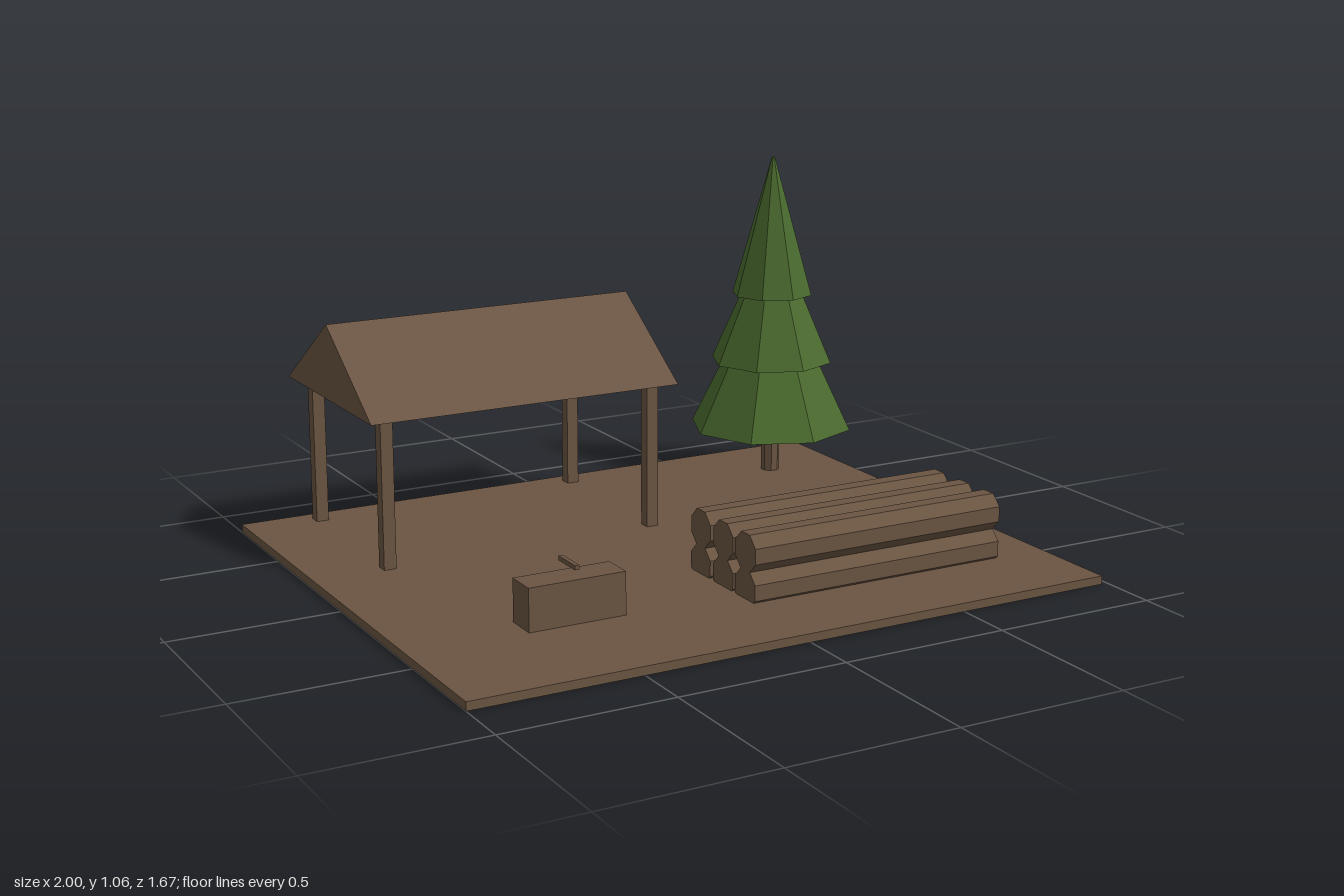
import * as THREE from 'three';

const wood = new THREE.MeshStandardMaterial({ color: 0x6b5543 });
wood.name = 'earthy brown wood';
const needles = new THREE.MeshStandardMaterial({ color: 0x4a6a2e });
needles.name = 'pine green';

function add(parent, name, geometry, material, x, y, z) {
  // Faceted, low-poly shading
  const flat = geometry.index ? geometry.toNonIndexed() : geometry;
  flat.computeVertexNormals();
  const mesh = new THREE.Mesh(flat, material);
  mesh.name = name;
  mesh.position.set(x, y, z);
  parent.add(mesh);
  return mesh;
}

function subgroup(parent, name) {
  const group = new THREE.Group();
  group.name = name;
  parent.add(group);
  return group;
}

export function createModel() {
  const model = new THREE.Group();
  model.name = 'lumberCamp';

  // Ground slab
  add(model, 'ground', new THREE.BoxGeometry(1.98, 0.025, 1.65), wood, -0.01, 0.0125, 0.005);

  // Open shelter: four posts and a solid gable roof
  const shelter = subgroup(model, 'shelter');
  for (const x of [-0.77, 0.088]) {
    for (const z of [-0.22, -0.755]) {
      add(shelter, 'post', new THREE.BoxGeometry(0.038, 0.48, 0.038), wood, x, 0.24, z);
    }
  }
  const gable = new THREE.Shape([
    new THREE.Vector2(-0.33, 0),
    new THREE.Vector2(0.33, 0),
    new THREE.Vector2(0, 0.225),
  ]);
  const roof = new THREE.ExtrudeGeometry(gable, { depth: 0.985, bevelEnabled: false });
  roof.rotateY(Math.PI / 2);
  add(shelter, 'roof', roof, wood, -0.832, 0.47, -0.49);

  // Log pile: two layers of three octagonal logs
  const pile = subgroup(model, 'logPile');
  for (const y of [0.055, 0.16]) {
    for (const z of [0.26, 0.385, 0.505]) {
      const log = new THREE.CylinderGeometry(0.059, 0.059, 0.825, 8);
      log.rotateY(Math.PI / 8);
      log.rotateZ(Math.PI / 2);
      add(pile, 'log', log, wood, 0.403, y, z);
    }
  }

  // Chopping block with a thin handle above it
  const chopping = subgroup(model, 'choppingPlace');
  add(chopping, 'choppingBlock', new THREE.BoxGeometry(0.292, 0.135, 0.098), wood, -0.506, 0.0825, 0.417);
  add(chopping, 'toolHandle', new THREE.BoxGeometry(0.013, 0.013, 0.098), wood, -0.508, 0.184, 0.417);

  // Pine tree: trunk and three stacked octagonal tiers
  const tree = subgroup(model, 'pineTree');
  const trunk = new THREE.CylinderGeometry(0.03, 0.03, 0.3, 8);
  trunk.rotateY(Math.PI / 8);
  add(tree, 'trunk', trunk, wood, 0.733, 0.15, -0.572);
  const tiers = [
    [0.265, 0.175, 0.53],
    [0.198, 0.395, 0.44],
    [0.131, 0.615, 0.445],
  ];
  for (const [radius, base, height] of tiers) {
    add(tree, 'foliageTier', new THREE.CylinderGeometry(0.005, radius, height, 8), needles,
      0.733, base + height / 2, -0.572);
  }

  return model;
}
